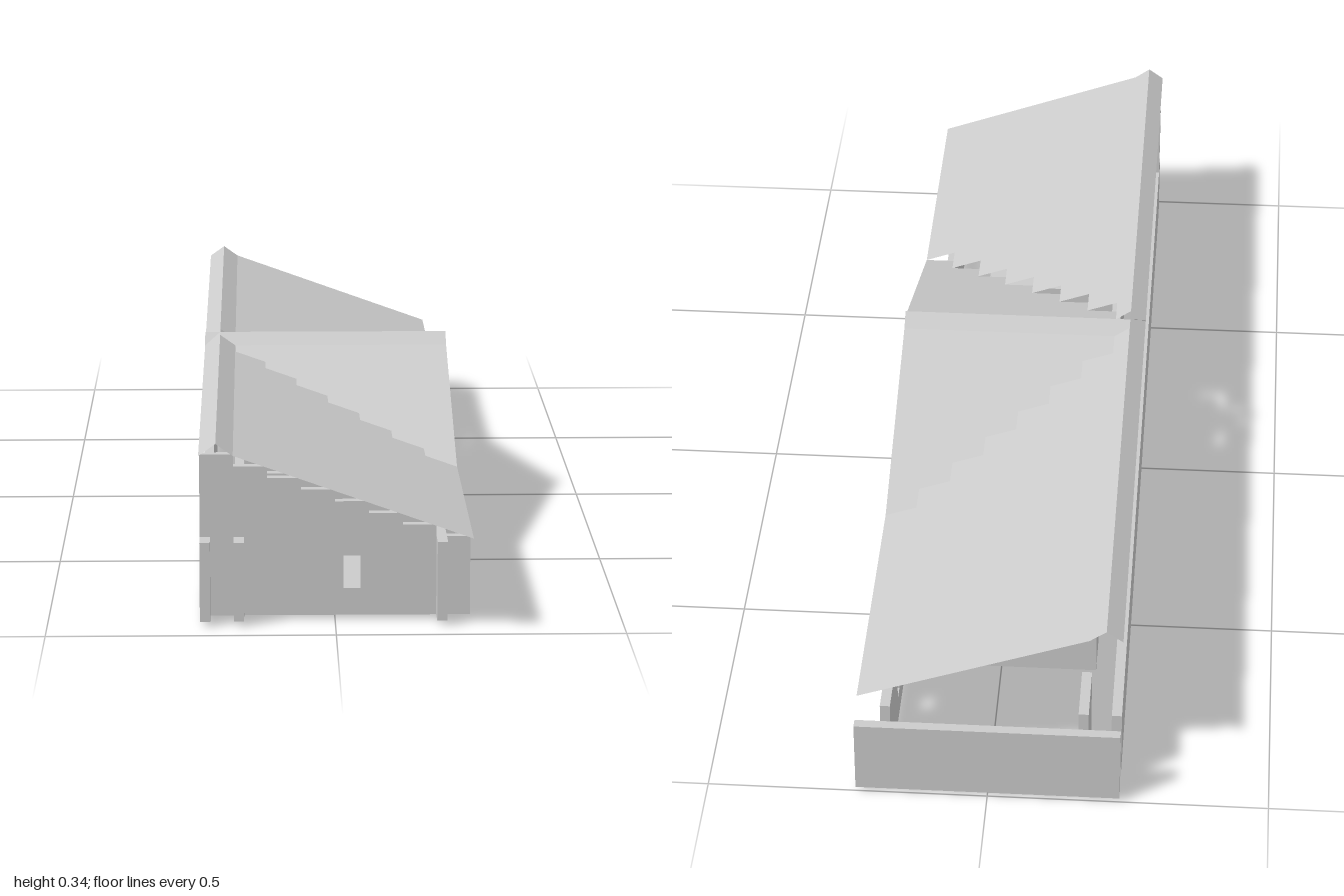
import * as THREE from 'three';

const T = 1 / 17;          // planning module
const RISE = 0.021;        // roof drop per module
const THICK = 0.018;       // wall thickness
const BASE = 0.008, WALL_TOP = 0.149, EAVE_TOP = 0.317, RIDGE = 0.338;

const material = new THREE.MeshStandardMaterial({ color: 0xcccccc, flatShading: true });
const sheet = new THREE.MeshStandardMaterial({ color: 0xcccccc, flatShading: true, side: THREE.DoubleSide });

function box(parent, name, [x0, x1], [y0, y1], [z0, z1]) {
  const mesh = new THREE.Mesh(new THREE.BoxGeometry(x1 - x0, y1 - y0, z1 - z0), material);
  mesh.position.set((x0 + x1) / 2, (y0 + y1) / 2, (z0 + z1) / 2);
  mesh.name = name;
  parent.add(mesh);
}

// Upright slab from an outline with window holes, extruded by the wall thickness
function slab(name, outline, windows) {
  const shape = new THREE.Shape(outline.map(([x, y]) => new THREE.Vector2(x, y)));
  for (const c of windows) {
    const hole = new THREE.Path();
    hole.moveTo(c - 0.015, 0.056);
    hole.lineTo(c - 0.015, 0.115);
    hole.lineTo(c + 0.015, 0.115);
    hole.lineTo(c + 0.015, 0.056);
    hole.closePath();
    shape.holes.push(hole);
  }
  const mesh = new THREE.Mesh(new THREE.ExtrudeGeometry(shape, { depth: THICK, bevelEnabled: false }), material);
  mesh.name = name;
  return mesh;
}

// Thin sheet made of four-cornered panels
function panels(name, quads) {
  const pos = [];
  for (const [a, b, c, d] of quads) pos.push(...a, ...b, ...c, ...a, ...c, ...d);
  const geo = new THREE.BufferGeometry();
  geo.setAttribute('position', new THREE.Float32BufferAttribute(pos, 3));
  geo.computeVertexNormals();
  const mesh = new THREE.Mesh(geo, sheet);
  mesh.name = name;
  return mesh;
}

// Panel running along z, sloping from (x0,y0) to (x1,y1)
const alongZ = (x0, y0, x1, y1, z0, z1) =>
  [[x0, y0, z0], [x0, y0, z1], [x1, y1, z1], [x1, y1, z0]];
// Panel running along x, sloping from (z0,y0) to (z1,y1)
const alongX = (z0, y0, z1, y1, x0, x1) =>
  [[x0, y0, z0], [x0, y0, z1], [x1, y1, z1], [x1, y1, z0]].map((p, i) =>
    [p[0], i === 0 || i === 3 ? y0 : y1, p[2]]);

function buildWalls() {
  const walls = new THREE.Group();
  walls.name = 'walls';
  const low = [BASE, WALL_TOP];

  // Tall end wall, stepped down under the roof pitch
  const outline = [[-4 * T, BASE], [4 * T, BASE]];
  for (let k = 7; k >= 0; k--) {
    const top = EAVE_TOP - RISE * (k + 1);
    outline.push([(k - 3) * T, top], [(k - 4) * T, top]);
  }
  const front = slab('frontWall', outline, [T / 2]);
  front.position.z = 15 * T;
  walls.add(front);

  // Window wall in two lengths with a doorway between them
  const lengths = [[-16 * T, T + THICK, -13.5 * T], [2 * T, 16 * T, 11.5 * T]];
  for (const [z0, z1, win] of lengths) {
    const wall = slab('windowWall',
      [[-z1, BASE], [-z0, BASE], [-z0, WALL_TOP], [-z1, WALL_TOP]], [-win]);
    wall.rotation.y = Math.PI / 2;
    wall.position.x = 3 * T;
    walls.add(wall);
  }

  // Cross walls projecting beyond the window wall
  for (const k of [7, 1, -5, -11])
    box(walls, 'crossWall', [-3 * T, 4 * T], low, [k * T, k * T + THICK]);
  box(walls, 'backWall', [-4 * T, 4 * T], low, [-17 * T, -17 * T + THICK]);

  // Long outer wall and the corridor wall broken by doorways
  box(walls, 'outerWall', [-4 * T, -4 * T + THICK], low, [-16 * T, 16 * T]);
  for (const [a, b] of [[-16, -14], [-11, -4], [-3, 0], [2, 3.3], [4.3, 10], [11, 16]])
    box(walls, 'corridorWall', [-3 * T, -3 * T + THICK], low, [a * T, b * T]);
  return walls;
}

function buildRoof() {
  const roof = new THREE.Group();
  roof.name = 'roof';
  const zBack = -16 * T, zFront = 17 * T, xEave = 4 * T;
  const main = [], crossFront = [], crossBack = [];

  // Both roofs step past each other along the valleys, one module at a time
  for (let i = 0; i < 7; i++) {
    const x0 = (i - 3) * T, x1 = x0 + T;
    const y0 = EAVE_TOP - RISE * i, y1 = y0 - RISE;
    main.push(alongZ(x0, y0, x1, y1, (i + 2) * T, zFront));
    main.push(alongZ(x0, y0, x1, y1, zBack, -(i + 1) * T));
    crossFront.push(alongX((i + 1) * T, y0, (i + 2) * T, y1, x0, xEave));
    crossBack.push(alongX(-i * T, y0, -(i + 1) * T, y1, x0, xEave));
  }
  roof.add(panels('mainSlope', main));
  roof.add(panels('crossSlopeFront', crossFront));
  roof.add(panels('crossSlopeBack', crossBack));

  // Steeper ridge caps
  roof.add(panels('mainRidge', [
    alongZ(-4 * T, EAVE_TOP, -3.5 * T, RIDGE, zBack, zFront),
    alongZ(-3.5 * T, RIDGE, -3 * T, EAVE_TOP, zBack, 0),
    alongZ(-3.5 * T, RIDGE, -3 * T, EAVE_TOP, T, zFront),
  ]));
  roof.add(panels('crossRidge', [
    alongX(0, EAVE_TOP, T / 2, RIDGE, -3.5 * T, xEave),
    alongX(T / 2, RIDGE, T, EAVE_TOP, -4 * T, xEave),
  ]));
  return roof;
}

export function createModel() {
  const model = new THREE.Group();
  model.name = 'longHouse';
  model.add(buildWalls(), buildRoof());

  // Floor plates lying just below the walls, in modules: x0, x1, z0, z1
  const plates = [[-1, 2, 10, 14], [0, 3, 8, 10], [1, 3, 2, 4], [1, 3, -10, -8], [1, 3, -16, -14]];
  for (const [x0, x1, z0, z1] of plates)
    box(model, 'floorPlate', [x0 * T, x1 * T], [0, BASE], [z0 * T, z1 * T]);
  return model;
}
